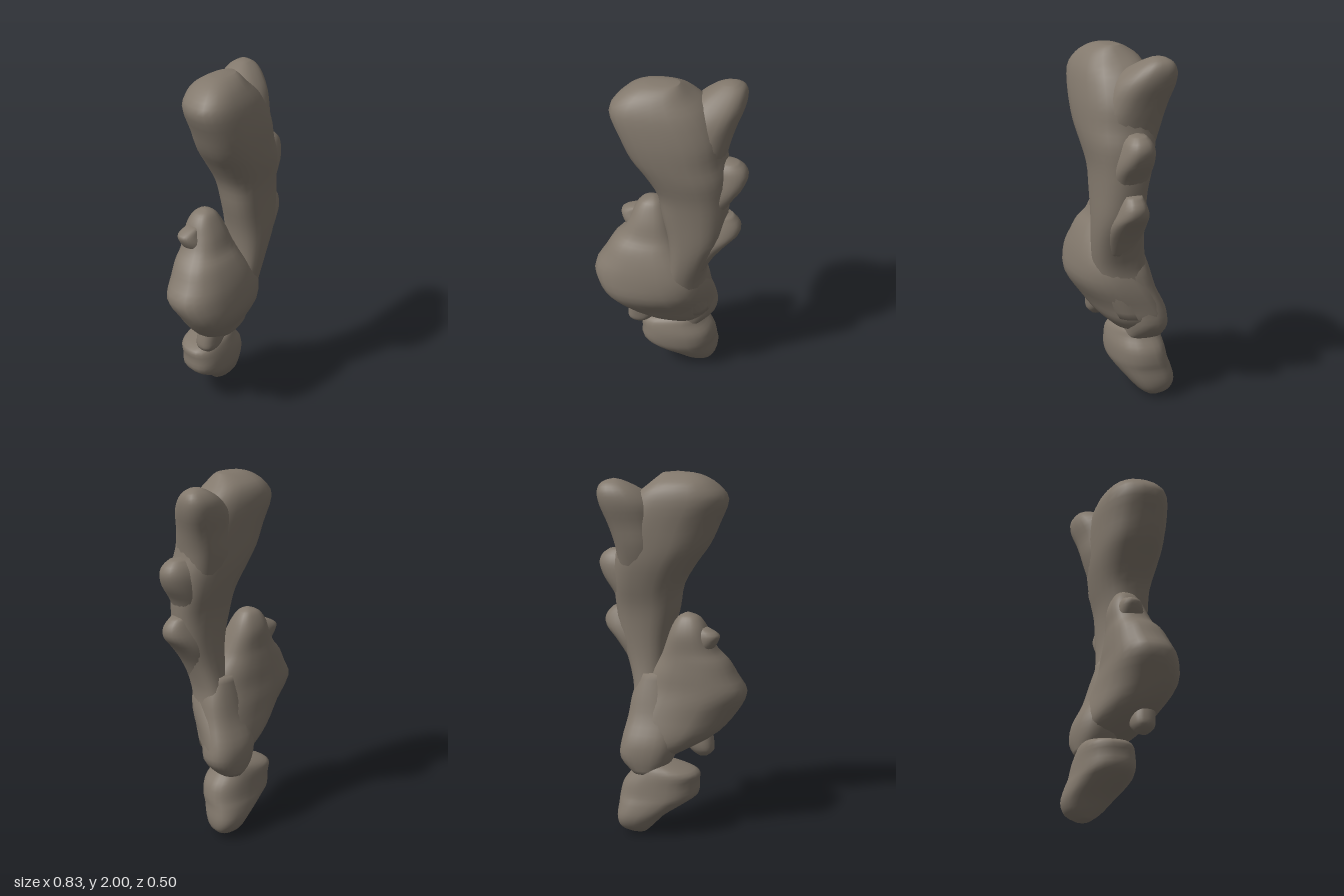
import * as THREE from 'three';

const SIDES = 24, STEPS = 3;

// Smooth interpolation between four neighbouring section values
function spline(a, b, c, d, t) {
  const m0 = (c - a) / 2, m1 = (d - b) / 2, t2 = t * t, t3 = t2 * t;
  return (2 * t3 - 3 * t2 + 1) * b + (t3 - 2 * t2 + t) * m0 + (3 * t2 - 2 * t3) * c + (t3 - t2) * m1;
}

// Flattens the flanks of an oval a little
const full = v => Math.sign(v) * Math.abs(v) ** 0.82;

// Closed loft through level sections [y, xMin, xMax, zMin, zMax, skew], bottom to top.
// skew turns each oval: negative swings its +x end to the back.
function loft(sections) {
  const rows = [], last = sections.length - 1;
  const at = i => sections[Math.min(last, Math.max(0, i))];
  for (let i = 0; i < last; i++) {
    for (let s = 0; s < STEPS; s++) {
      rows.push(at(i).map((v, k) => spline(at(i - 1)[k], v, at(i + 1)[k], at(i + 2)[k], s / STEPS)));
    }
  }
  rows.push(sections[last]);

  const pos = [], index = [];
  for (const [y, x0, x1, z0, z1, skew] of rows) {
    for (let j = 0; j < SIDES; j++) {
      const t = j / SIDES * Math.PI * 2;
      pos.push((x0 + x1) / 2 + (x1 - x0) / 2 * full(Math.cos(t)), y,
        (z0 + z1) / 2 + (z1 - z0) / 2 * full(Math.sin(t + skew)));
    }
  }
  for (let i = 0; i < rows.length - 1; i++) {
    for (let j = 0; j < SIDES; j++) {
      const a = i * SIDES + j, b = i * SIDES + (j + 1) % SIDES;
      index.push(a, a + SIDES, b, b, a + SIDES, b + SIDES);
    }
  }
  // Close both ends with a slightly domed fan
  for (const [r, dir] of [[0, -1], [rows.length - 1, 1]]) {
    const [y, x0, x1, z0, z1] = rows[r], pole = pos.length / 3;
    pos.push((x0 + x1) / 2, y + dir * 0.008, (z0 + z1) / 2);
    for (let j = 0; j < SIDES; j++) {
      const a = r * SIDES + j, b = r * SIDES + (j + 1) % SIDES;
      if (dir > 0) index.push(a, pole, b);
      else index.push(a, b, pole);
    }
  }
  const geo = new THREE.BufferGeometry();
  geo.setAttribute('position', new THREE.Float32BufferAttribute(pos, 3));
  geo.setIndex(index);
  geo.computeVertexNormals();
  return geo;
}

export function createModel() {
  const group = new THREE.Group();
  const stone = new THREE.MeshStandardMaterial({ color: 0x82786c });
  stone.name = 'brown grey stone';

  const add = (name, sections) => {
    const mesh = new THREE.Mesh(loft(sections), stone);
    mesh.name = name;
    group.add(mesh);
  };

  // Upright stem widening into the broad head
  add('stemAndHead', [
    [0.50, 0.04, 0.22, -0.14, 0.08, -0.3],
    [0.65, 0.02, 0.215, -0.13, 0.15, -0.3],
    [0.80, 0.01, 0.20, -0.09, 0.19, -0.25],
    [0.95, 0.02, 0.24, -0.06, 0.21, -0.2],
    [1.10, 0.01, 0.30, -0.05, 0.215, -0.15],
    [1.25, -0.025, 0.32, -0.055, 0.215, -0.15],
    [1.38, -0.05, 0.325, -0.085, 0.22, -0.15],
    [1.50, -0.12, 0.32, -0.11, 0.24, -0.15],
    [1.60, -0.19, 0.295, -0.12, 0.25, -0.2],
    [1.72, -0.245, 0.28, -0.125, 0.25, -0.25],
    [1.85, -0.295, 0.21, -0.12, 0.23, -0.25],
    [1.93, -0.24, 0.12, -0.09, 0.19, -0.25],
    [1.975, -0.17, 0.07, -0.03, 0.14, -0.2],
    [1.992, -0.11, 0.05, 0.01, 0.10, -0.2],
  ]);

  // Second, smaller head lobe, set back and fused to the head
  add('headLobe', [
    [1.45, 0.02, 0.28, -0.09, 0.18, -0.2],
    [1.60, 0.02, 0.295, -0.135, 0.20, -0.2],
    [1.72, 0.03, 0.325, -0.155, 0.17, -0.3],
    [1.82, 0.06, 0.36, -0.18, 0.12, -0.3],
    [1.89, 0.13, 0.37, -0.18, 0.05, -0.25],
    [1.935, 0.20, 0.355, -0.155, -0.01, -0.2],
    [1.957, 0.25, 0.32, -0.12, -0.05, -0.2],
  ]);

  // Knobs along the stem's left side, each swelling out of it
  add('upperKnob', [
    [1.26, 0.14, 0.30, -0.03, 0.15, 0],
    [1.34, 0.14, 0.335, -0.05, 0.16, 0],
    [1.42, 0.14, 0.39, -0.055, 0.15, 0],
    [1.49, 0.15, 0.415, -0.05, 0.13, 0],
    [1.54, 0.18, 0.40, -0.03, 0.11, 0],
    [1.572, 0.24, 0.36, 0.00, 0.08, 0],
  ]);
  add('lowerKnob', [
    [0.88, 0.08, 0.21, -0.02, 0.16, 0],
    [0.98, 0.10, 0.26, -0.035, 0.17, 0],
    [1.07, 0.12, 0.325, -0.04, 0.17, 0],
    [1.14, 0.14, 0.385, -0.03, 0.15, 0],
    [1.20, 0.16, 0.388, -0.01, 0.13, 0],
    [1.25, 0.20, 0.345, 0.01, 0.11, 0],
  ]);

  // Swollen side mass with a stepped shoulder
  add('sideMass', [
    [0.42, 0.00, 0.18, -0.18, 0.05, -0.5],
    [0.48, -0.13, 0.235, -0.20, 0.12, -0.5],
    [0.56, -0.26, 0.235, -0.18, 0.175, -0.45],
    [0.68, -0.36, 0.22, -0.14, 0.245, -0.3],
    [0.80, -0.42, 0.18, -0.115, 0.24, -0.05],
    [0.90, -0.37, 0.12, -0.11, 0.215, 0],
    [0.98, -0.325, 0.06, -0.105, 0.18, 0],
    [1.04, -0.27, 0.03, -0.10, 0.14, 0],
    [1.12, -0.23, 0.00, -0.10, 0.11, 0],
    [1.18, -0.205, -0.025, -0.085, 0.08, 0],
    [1.225, -0.17, -0.055, -0.06, 0.05, 0],
    [1.243, -0.13, -0.085, -0.03, 0.02, 0],
  ]);

  // Bulge at the back, where the stem meets the foot
  add('rearBulge', [
    [0.36, 0.00, 0.17, -0.20, 0.01, -0.1],
    [0.44, -0.05, 0.24, -0.215, 0.02, -0.15],
    [0.54, -0.08, 0.235, -0.205, 0.05, -0.2],
    [0.66, -0.08, 0.215, -0.15, 0.08, -0.2],
    [0.78, -0.04, 0.20, -0.115, 0.08, -0.1],
    [0.90, 0.00, 0.16, -0.08, 0.08, 0],
  ]);

  // Spur on the shoulder and small nub under the side mass
  add('shoulderSpur', [
    [1.04, -0.24, -0.10, -0.07, 0.07, 0],
    [1.09, -0.275, -0.11, -0.075, 0.06, 0],
    [1.135, -0.285, -0.12, -0.07, 0.04, 0],
    [1.17, -0.22, -0.13, -0.05, 0.03, 0],
  ]);
  add('lowerNub', [
    [0.42, -0.20, -0.15, 0.05, 0.10, 0],
    [0.45, -0.235, -0.11, 0.02, 0.13, 0],
    [0.50, -0.235, -0.07, 0.01, 0.14, 0],
    [0.58, -0.22, -0.05, 0.02, 0.15, 0],
  ]);

  // Lumpy foot leaning to one side
  add('foot', [
    [0.012, 0.09, 0.18, -0.17, -0.10, -0.2],
    [0.05, 0.05, 0.23, -0.225, -0.05, -0.2],
    [0.11, -0.01, 0.245, -0.25, 0.00, -0.25],
    [0.18, -0.12, 0.24, -0.24, 0.05, -0.3],
    [0.23, -0.18, 0.24, -0.225, 0.065, -0.25],
    [0.30, -0.185, 0.225, -0.215, 0.065, -0.2],
    [0.36, -0.185, 0.18, -0.205, 0.05, -0.15],
    [0.395, -0.10, 0.16, -0.19, 0.03, -0.1],
    [0.42, 0.00, 0.14, -0.16, 0.00, 0],
  ]);

  return group;
}
